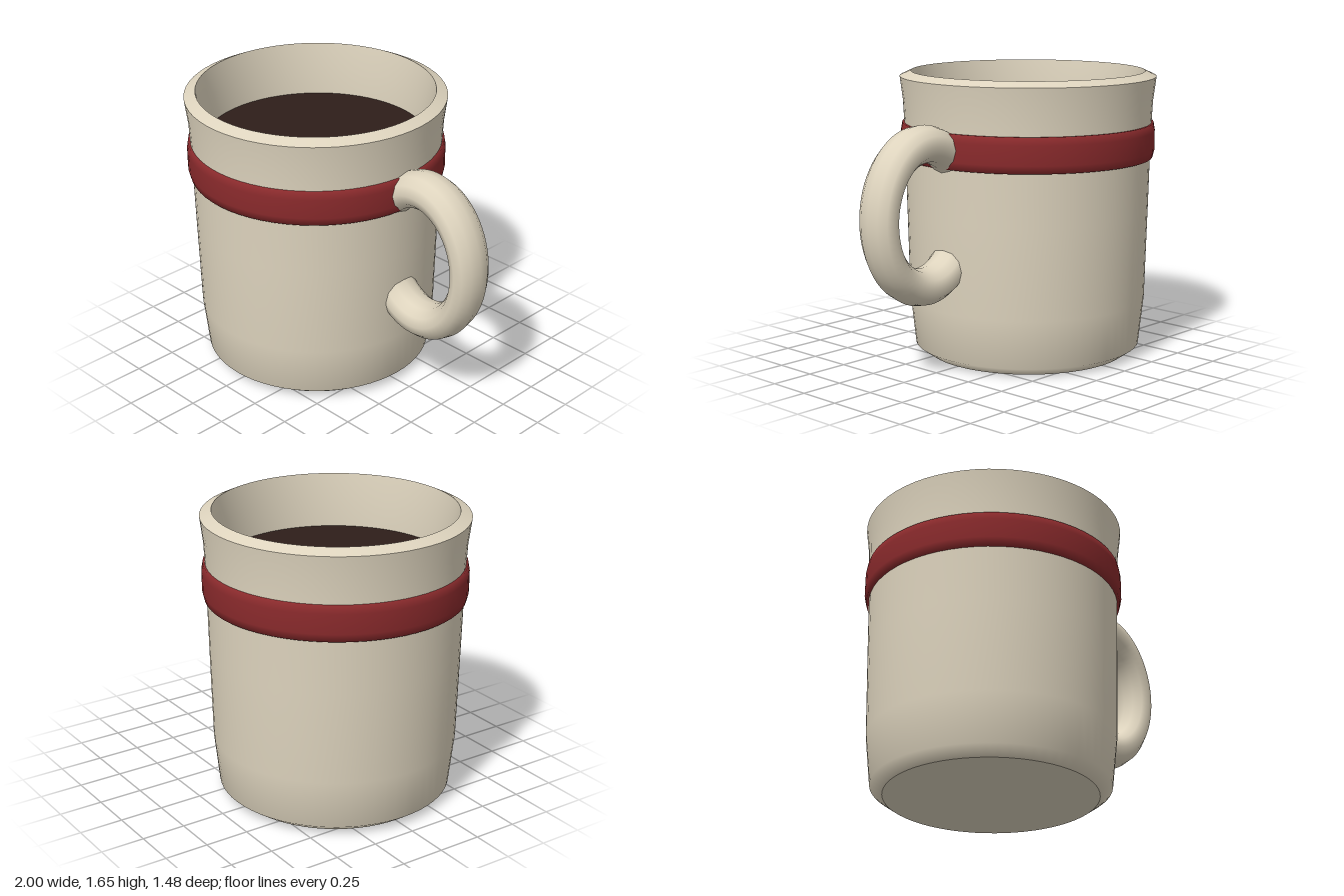
import * as THREE from 'three';

const AXIS_X = -0.26; // the cup sits left of centre, balanced by the handle

export function createModel() {
  const group = new THREE.Group();
  const ceramic = new THREE.MeshStandardMaterial({ color: 0xded4be });
  const red = new THREE.MeshStandardMaterial({ color: 0x8a2a2c });
  const coffee = new THREE.MeshStandardMaterial({ color: 0x2e1e1a });

  const add = (name, geometry, material, x, y = 0) => {
    const mesh = new THREE.Mesh(geometry, material);
    mesh.name = name;
    mesh.position.set(x, y, 0);
    group.add(mesh);
    return mesh;
  };
  const lathe = (points) =>
    new THREE.LatheGeometry(points.map(([r, y]) => new THREE.Vector2(r, y)), 64);

  // Outer wall with tapered foot and flared lip
  add('outerWall', lathe([
    [0.59, 0], [0.66, 0.05], [0.69, 0.33], [0.703, 0.85], [0.713, 1.3], [0.722, 1.48], [0.74, 1.62],
  ]), ceramic, AXIS_X);

  // Flat underside
  add('base', lathe([[0, 0], [0.59, 0]]), ceramic, AXIS_X);

  // Sloping rim, then the inside wall and floor
  add('rim', lathe([[0.74, 1.62], [0.675, 1.65]]), ceramic, AXIS_X);
  add('innerWall', lathe([
    [0.675, 1.65], [0.652, 1.5], [0.64, 1.3], [0.62, 0.35], [0.58, 0.12], [0, 0.1],
  ]), ceramic, AXIS_X);

  // Drink surface
  const drink = add('drink', new THREE.CircleGeometry(0.641, 64), coffee, AXIS_X, 1.34);
  drink.rotation.x = -Math.PI / 2;

  // Raised stripe around the cup
  add('stripe', lathe([
    [0.7, 1.155], [0.724, 1.155], [0.735, 1.2], [0.735, 1.31], [0.727, 1.355], [0.7, 1.355],
  ]), red, AXIS_X);

  // Oval handle: an open ring whose ends are buried in the wall
  const arc = THREE.MathUtils.degToRad(264);
  const ring = new THREE.TorusGeometry(0.395, 0.105, 12, 48, arc);
  ring.rotateZ(-arc / 2);
  ring.scale(0.8, 1, 1.21);
  add('handle', ring, ceramic, 0.6, 0.91);

  return group;
}
